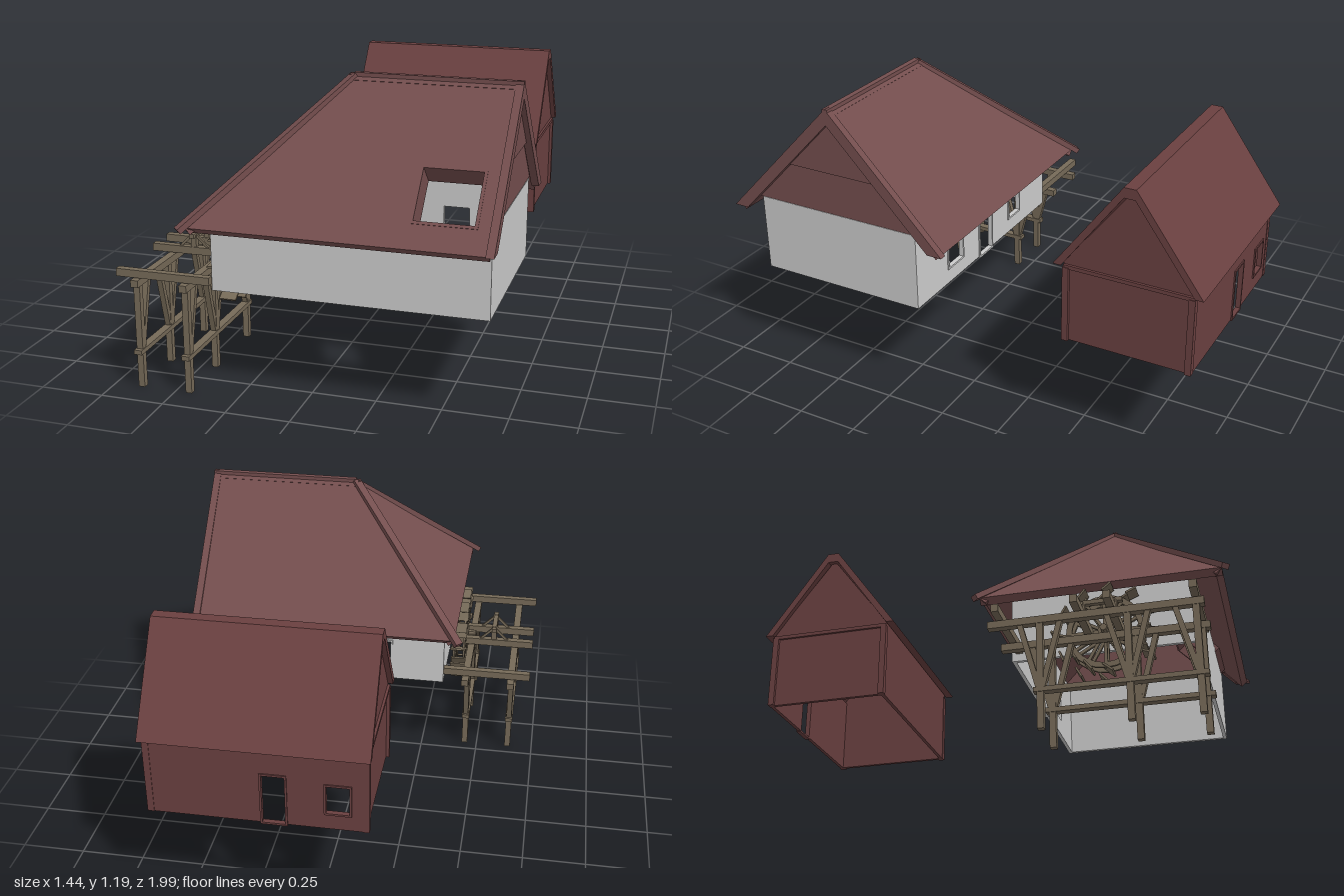
import * as THREE from 'three';

const V = (x, y, z) => new THREE.Vector3(x, y, z);
const mat = (color) => new THREE.MeshStandardMaterial({ color, flatShading: true, side: THREE.DoubleSide });
const WALL = mat(0xcccccc), ROOF = mat(0x744e4e), COTTAGE = mat(0x6a4040), WOOD = mat(0x766a58);

function add(parent, name, geometry, material) {
  const mesh = new THREE.Mesh(geometry, material);
  mesh.name = name;
  parent.add(mesh);
  return mesh;
}

// Rectangle [u0, v0, u1, v1] grown by g, as shape points
const rect = ([a, b, c, d], g = 0) =>
  [[a - g, b - g], [c + g, b - g], [c + g, d + g], [a - g, d + g]].map(([x, y]) => new THREE.Vector2(x, y));

// Flat slab: corners counter-clockwise from outside, thickened inward, with rectangular holes
function panel(parent, name, corners, depth, material, holes = []) {
  const p = corners.map((c) => V(...c));
  const u = p[1].clone().sub(p[0]).normalize();
  const n = V(0, 0, 0);
  p.forEach((a, i) => n.add(a.clone().sub(p[0]).cross(p[(i + 1) % p.length].clone().sub(p[0]))));
  n.normalize();
  const v = n.clone().cross(u);
  const shape = new THREE.Shape(p.map((q) => {
    const d = q.clone().sub(p[0]);
    return new THREE.Vector2(d.dot(u), d.dot(v));
  }));
  holes.forEach((h) => shape.holes.push(new THREE.Path(rect(h))));
  const matrix = new THREE.Matrix4().makeBasis(u, v, n).setPosition(p[0]);
  const geo = new THREE.ExtrudeGeometry(shape, { depth, bevelEnabled: false });
  add(parent, name, geo.translate(0, 0, -depth).applyMatrix4(matrix), material);
  return matrix;
}

// Border around an opening of a panel
function frame(parent, name, matrix, hole, width, front, depth, material) {
  const shape = new THREE.Shape(rect(hole, width));
  shape.holes.push(new THREE.Path(rect(hole)));
  const geo = new THREE.ExtrudeGeometry(shape, { depth, bevelEnabled: false });
  add(parent, name, geo.translate(0, 0, front - depth).applyMatrix4(matrix), material);
}

// Squared timber from a to b
function beam(parent, name, a, b, w, h, material = WOOD) {
  const A = V(...a), B = V(...b);
  const mesh = add(parent, name, new THREE.BoxGeometry(w, h, A.distanceTo(B)), material);
  mesh.position.copy(A).add(B).multiplyScalar(0.5);
  mesh.lookAt(B);
}

function millHouse() {
  const g = new THREE.Group();
  g.name = 'millHouse';
  const x0 = -0.35, x1 = 0.69, z0 = 0.13, z1 = 0.85, b = 0.41, t = 0.73;

  // Walls, open underneath
  panel(g, 'frontWall', [[x0, b, z1], [x1, b, z1], [x1, t, z1], [x0, t - 0.02, z1]], 0.015, WALL);
  panel(g, 'gableWall', [[x1, b, z1], [x1, b, z0], [x1, t, z0], [x1, t, z1]], 0.015, WALL);
  panel(g, 'hipWall', [[x0, b, z0], [x0, b, z1], [x0, t - 0.02, z1], [x0, t - 0.02, z0]], 0.015, WALL);
  const openings = [[0.23, 0.07, 0.335, 0.18], [0.475, 0.003, 0.57, 0.205], [0.72, 0.07, 0.81, 0.18]];
  const back = panel(g, 'backWall', [[x1, b, z0], [x0, b, z0], [x0, t - 0.02, z0], [x1, t, z0]], 0.015, WALL, openings);
  openings.forEach((o) => frame(g, 'openingFrame', back, o, 0.008, 0.005, 0.02, WALL));

  // Hipped roof with a skylight in the front slope
  const e = 0.68, top = 1.18, m = 0.485, f = 0.96, r = 0.01, hx = -0.4, rx = 0.09, ex = 0.7;
  const sky = [0.82, 0.11, 1.035, 0.317];
  const slope = panel(g, 'frontRoof', [[hx, e, f], [ex, e, f], [ex, top, m], [rx, top, m]], 0.033, ROOF, [sky]);
  frame(g, 'skylightReveal', slope, sky, 0.012, 0.002, 0.1, ROOF);
  panel(g, 'backRoof', [[ex, e, r], [hx, e, r], [rx, top, m], [ex, top, m]], 0.033, ROOF);
  panel(g, 'hipRoof', [[hx, e, r], [hx, e, f], [rx, top, m]], 0.033, ROOF);

  // Gable boarding, upper part slightly proud
  panel(g, 'lowerGable', [[0.688, t, 0.87], [0.688, t, 0.1], [0.688, 0.91, 0.26], [0.688, 0.91, 0.71]], 0.012, ROOF);
  panel(g, 'upperGable', [[0.7, 0.91, 0.705], [0.7, 0.91, 0.265], [0.7, 1.15, m]], 0.024, ROOF);

  // Ridge, hip and verge boards
  beam(g, 'ridgeCap', [rx, 1.174, m], [0.72, 1.174, m], 0.024, 0.02, ROOF);
  for (const s of [-1, 1]) {
    beam(g, 'hipCap', [-0.42, 0.672, m + s * 0.49], [rx, 1.172, m], 0.034, 0.022, ROOF);
    panel(g, 'vergeBoard', [[0.72, e, m + s * 0.487], [0.72, e, m + s * 0.425], [0.72, 1.12, m], [0.72, 1.185, m]], s * 0.03, ROOF);
  }
  return g;
}

function cottage() {
  const g = new THREE.Group();
  g.name = 'cottage';
  const x0 = -0.19, x1 = 0.61, z0 = -0.965, z1 = -0.457, b = 0.41, t = 0.74, m = -0.711;

  // Walls and gables, open underneath
  panel(g, 'frontWall', [[x0, b, z1], [x1, b, z1], [x1, t, z1], [x0, t, z1]], 0.015, COTTAGE);
  const openings = [[0.42, 0.003, 0.505, 0.205], [0.655, 0.07, 0.74, 0.185]];
  const back = panel(g, 'backWall', [[x1, b, z0], [x0, b, z0], [x0, t, z0], [x1, t, z0]], 0.015, COTTAGE, openings);
  openings.forEach((o) => frame(g, 'openingFrame', back, o, 0.008, 0.005, 0.02, COTTAGE));
  panel(g, 'rightGable', [[x0, b, z0], [x0, b, z1], [x0, t, z1], [x0, 1.07, m], [x0, t, z0]], 0.015, COTTAGE);
  panel(g, 'leftGable', [[x1, b, z1], [x1, b, z0], [x1, t, z0], [x1, 1.07, m], [x1, t, z1]], 0.015, COTTAGE);

  // Corner posts and plate across each gable
  for (const x of [x0, x1]) {
    for (const z of [z0 + 0.01, z1 - 0.01]) beam(g, 'cornerPost', [x, b, z], [x, 0.72, z], 0.025, 0.025, COTTAGE);
    beam(g, 'gablePlate', [x, 0.722, z0], [x, 0.722, z1], 0.02, 0.015, COTTAGE);
  }

  // Roof: one folded profile with a flat crown
  const profile = [[-0.42, 0.73], [-0.453, 0.73], [-0.69, 1.055], [-0.732, 1.055], [-0.968, 0.73],
    [-1, 0.73], [-0.735, 1.095], [-0.688, 1.095]];
  panel(g, 'roof', profile.map(([z, y]) => [0.63, y, z]), 0.84, COTTAGE);
  return g;
}

function waterWheel() {
  const g = new THREE.Group();
  g.name = 'waterWheel';
  const n = 12;
  // Wheel is built around its local z axis, then turned to run along x
  for (const z of [-0.022, 0.022]) {
    const ring = new THREE.Shape().absarc(0, 0, 0.15, 0, Math.PI * 2);
    ring.holes.push(new THREE.Path().absarc(0, 0, 0.128, 0, Math.PI * 2));
    const geo = new THREE.ExtrudeGeometry(ring, { depth: 0.01, bevelEnabled: false, curveSegments: 12 });
    add(g, 'rim', geo.translate(0, 0, z - 0.005), WOOD);
    for (let i = 0; i < n / 2; i++) {
      const spoke = add(g, 'spoke', new THREE.BoxGeometry(0.27, 0.012, 0.01), WOOD);
      spoke.position.z = z;
      spoke.rotation.z = (i * Math.PI * 2) / n;
    }
  }
  for (let i = 0; i < n; i++) {
    const arm = new THREE.Group();
    arm.name = 'paddle';
    arm.rotation.z = (i * Math.PI * 2) / n;
    beam(arm, 'innerBoard', [0.125, -0.012, 0], [0.172, 0, 0], 0.008, 0.068);
    beam(arm, 'outerBoard', [0.17, 0, 0], [0.208, 0.022, 0], 0.008, 0.068);
    arm.children.forEach((c) => { c.geometry = new THREE.BoxGeometry(0.068, 0.008, c.geometry.parameters.depth); });
    g.add(arm);
  }
  add(g, 'hub', new THREE.CylinderGeometry(0.028, 0.028, 0.065, 10).rotateX(Math.PI / 2), WOOD);
  add(g, 'axle', new THREE.CylinderGeometry(0.014, 0.014, 0.13, 8).rotateX(Math.PI / 2), WOOD);
  g.rotation.y = Math.PI / 2;
  g.position.set(-0.395, 0.46, 0.51);
  return g;
}

function trestle() {
  const g = new THREE.Group();
  g.name = 'trestle';
  for (const x of [-0.64, -0.445]) {
    beam(g, 'crossBeam', [x, 0.422, 0.115], [x, 0.422, 0.905], 0.03, 0.028);
    beam(g, 'lowerRail', [x, 0.147, 0.285], [x, 0.147, 0.905], 0.032, 0.018);
    // Posts with braces splaying up to the cross beam
    for (const [z, sides] of [[0.875, [-1]], [0.63, [-1, 1]], [0.31, [-1, 1]]]) {
      beam(g, 'post', [x, 0, z], [x, 0.42, z], 0.025, 0.025);
      for (const s of sides) beam(g, 'brace', [x, 0.16, z + s * 0.008], [x, 0.415, z + s * 0.075], 0.022, 0.02);
    }
  }
  // Long beams reaching to the mill
  for (const z of [0.16, 0.45, 0.57, 0.875]) beam(g, 'longBeam', [-0.72, 0.456, z], [-0.345, 0.456, z], 0.028, 0.03);
  // Small prop frame across the two middle beams
  beam(g, 'propBar', [-0.545, 0.52, 0.43], [-0.545, 0.52, 0.6], 0.02, 0.016);
  for (const z of [0.45, 0.57]) {
    beam(g, 'propPost', [-0.545, 0.46, z], [-0.545, 0.52, z], 0.022, 0.022);
    for (const s of [-1, 1]) beam(g, 'propStrut', [-0.545 + s * 0.062, 0.465, z], [-0.545, 0.526, z], 0.01, 0.01);
  }
  return g;
}

export function createModel() {
  const model = new THREE.Group();
  model.name = 'waterMill';
  model.add(millHouse(), cottage(), waterWheel(), trestle());
  return model;
}
